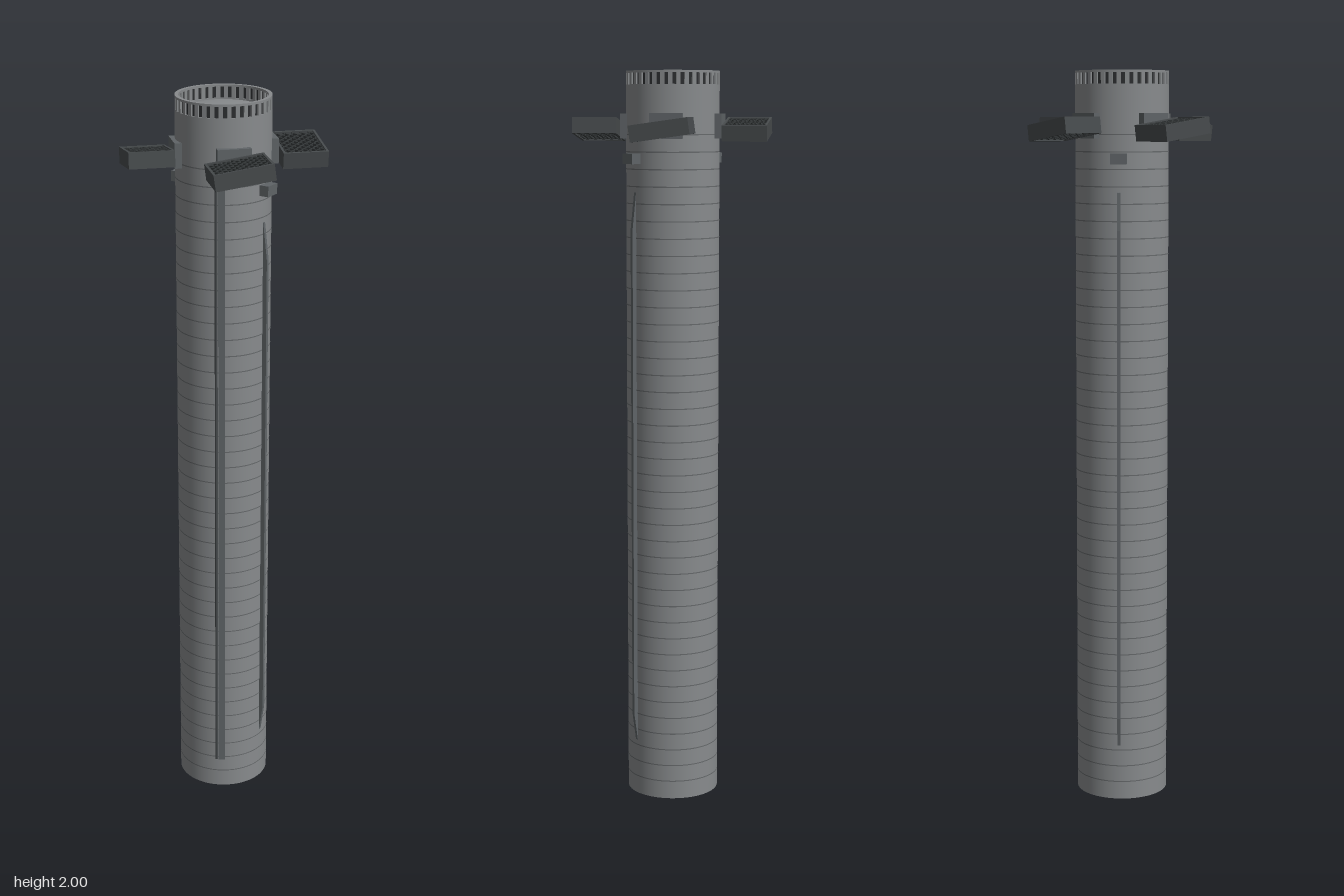
import * as THREE from 'three';

const mat = (name, color, side = THREE.FrontSide) => {
  const m = new THREE.MeshStandardMaterial({ color, side });
  m.name = name;
  return m;
};

export function createModel() {
  const root = new THREE.Group();
  root.name = 'boosterStage';
  const steel = mat('steel', 0x888b8d, THREE.DoubleSide);
  const seam = mat('weldSeam', 0x66696b);
  const bracket = mat('bracketGrey', 0x5f6467);
  const finGrey = mat('finGrey', 0x474b4d);
  const lattice = mat('latticeDark', 0x35393a);
  const dark = mat('ventDark', 0x2c2e30, THREE.DoubleSide);
  const bell = mat('engineGrey', 0x6c6f71, THREE.DoubleSide);

  const R = 0.126, TAU = Math.PI * 2;
  const add = (parent, name, geo, material, x = 0, y = 0, z = 0) => {
    const m = new THREE.Mesh(geo, material);
    m.name = name;
    m.position.set(x, y, z);
    parent.add(m);
    return m;
  };
  const box = (parent, name, w, h, d, material, x = 0, y = 0, z = 0) =>
    add(parent, name, new THREE.BoxGeometry(w, h, d), material, x, y, z);
  const tube = (r, h) => new THREE.CylinderGeometry(r, r, h, 72, 1, true);
  // pivot turned so that its local +x points outward
  const spoke = (name, angle) => {
    const g = new THREE.Group();
    g.name = name;
    g.rotation.y = angle;
    root.add(g);
    return g;
  };

  // Main tank with weld seams
  add(root, 'tank', tube(R, 1.96), steel, 0, 0.98, 0);
  const seamGeo = tube(R + 0.0004, 0.003);
  for (let y = 0.05; y < 1.85; y += 0.0457) add(root, 'weldSeam', seamGeo, seam, 0, y, 0);

  // Vented ring on top, with a recessed dome inside
  const ring = (y0, y1) => new THREE.LatheGeometry(
    [[0.116, y0], [R, y0], [R, y1], [0.116, y1], [0.116, y0]].flatMap(
      ([r, y]) => [new THREE.Vector2(r, y), new THREE.Vector2(r, y)]), 72);
  add(root, 'ventRim', ring(1.994, 2), steel);
  add(root, 'ventBase', ring(1.952, 1.964), steel);
  add(root, 'ventWall', tube(0.121, 0.032), dark, 0, 1.979, 0);
  const postGeo = new THREE.BoxGeometry(0.01, 0.032, 0.011);
  for (let i = 0; i < 36; i++) {
    add(spoke('ventPost', (i / 36) * TAU), 'post', postGeo, steel, 0.1208, 1.979, 0);
  }
  const dome = [];
  for (let i = 0; i <= 8; i++) {
    const a = (i / 8) * Math.PI / 2;
    dome.push(new THREE.Vector2(0.117 * Math.cos(a), 1.953 + 0.022 * Math.sin(a)));
  }
  add(root, 'topDome', new THREE.LatheGeometry(dome, 64), steel);

  // Engine bay: bulkhead and three circles of engine bells
  const bulkhead = add(root, 'bulkhead', new THREE.CircleGeometry(R - 0.001, 64), dark, 0, 0.05, 0);
  bulkhead.rotation.x = Math.PI / 2;
  const bellGeo = new THREE.LatheGeometry(
    [[0.0155, 0.002], [0.0145, 0.012], [0.011, 0.025], [0.005, 0.036], [0.006, 0.05]]
      .map(([r, y]) => new THREE.Vector2(r, y)), 20);
  for (const [count, r] of [[20, 0.107], [10, 0.068], [3, 0.024]]) {
    for (let i = 0; i < count; i++) {
      const a = (i / count) * TAU;
      add(root, 'engineBell', bellGeo, bell, r * Math.cos(a), 0, r * Math.sin(a));
    }
  }

  // Grid fins: frame, diagonal lattice, shaft and mount
  const L = 0.12, W = 0.156, T = 0.043, edge = 0.006, pitch = 0.016;
  for (let k = 0; k < 4; k++) {
    const g = spoke('gridFin', Math.PI / 4 + k * Math.PI / 2);
    box(g, 'finMount', 0.03, 0.066, 0.088, bracket, 0.122, 1.855, 0);
    const shaft = add(g, 'finShaft', new THREE.CylinderGeometry(0.014, 0.014, 0.03, 20), bracket, 0.135, 1.846, 0);
    shaft.rotation.z = Math.PI / 2;
    const fin = new THREE.Group();
    fin.name = 'fin';
    fin.position.set(0.2015, 1.846, 0);
    fin.rotation.x = 0.14;
    g.add(fin);
    for (const s of [-1, 1]) {
      box(fin, 'finFrameEnd', edge, T, W, finGrey, s * (L - edge) / 2, 0, 0);
      box(fin, 'finFrameSide', L - 2 * edge, T, edge, finGrey, 0, 0, s * (W - edge) / 2);
    }
    const hx = L / 2 - edge, hz = W / 2 - edge;
    // slats follow z = s * x + c, clipped to the frame
    for (const s of [-1, 1]) {
      for (let i = -8; i <= 8; i++) {
        const c = i * pitch * Math.SQRT2;
        const ends = [(-hz - c) / s, (hz - c) / s].sort((a, b) => a - b);
        const x0 = Math.max(-hx, ends[0]), x1 = Math.min(hx, ends[1]);
        if (x1 - x0 < 0.004) continue;
        const xm = (x0 + x1) / 2;
        const slat = box(fin, 'finSlat', (x1 - x0) * Math.SQRT2, T - 0.006, 0.0026, lattice, xm, 0, s * xm + c);
        slat.rotation.y = -s * Math.PI / 4;
      }
    }
  }

  // Side strakes with tapered ends, and catch blocks above them
  const strake = new THREE.Shape([[0.12, 0.15], [R, 0.155], [0.138, 0.235], [0.138, 1.58], [R, 1.68], [0.12, 1.685]]
    .map(([x, y]) => new THREE.Vector2(x, y)));
  const strakeGeo = new THREE.ExtrudeGeometry(strake, { depth: 0.009, bevelEnabled: false }).translate(0, 0, -0.0045);
  for (const a of [0, Math.PI]) {
    const g = spoke('side', a);
    add(g, 'strake', strakeGeo, bracket);
    box(g, 'catchBlock', 0.035, 0.028, 0.044, bracket, 0.1335, 1.769, 0);
  }

  // Cable raceway and pipe on the front left
  const az = (deg) => Math.PI / 2 * -1 + THREE.MathUtils.degToRad(deg);
  box(spoke('raceway', az(31)), 'racewayCover', 0.014, 1.74, 0.018, bracket, 0.126, 0.96, 0);
  add(spoke('pipeRun', az(24.5)), 'pipe', new THREE.CylinderGeometry(0.004, 0.004, 1.74, 12), finGrey, 0.129, 0.96, 0);

  return root;
}
